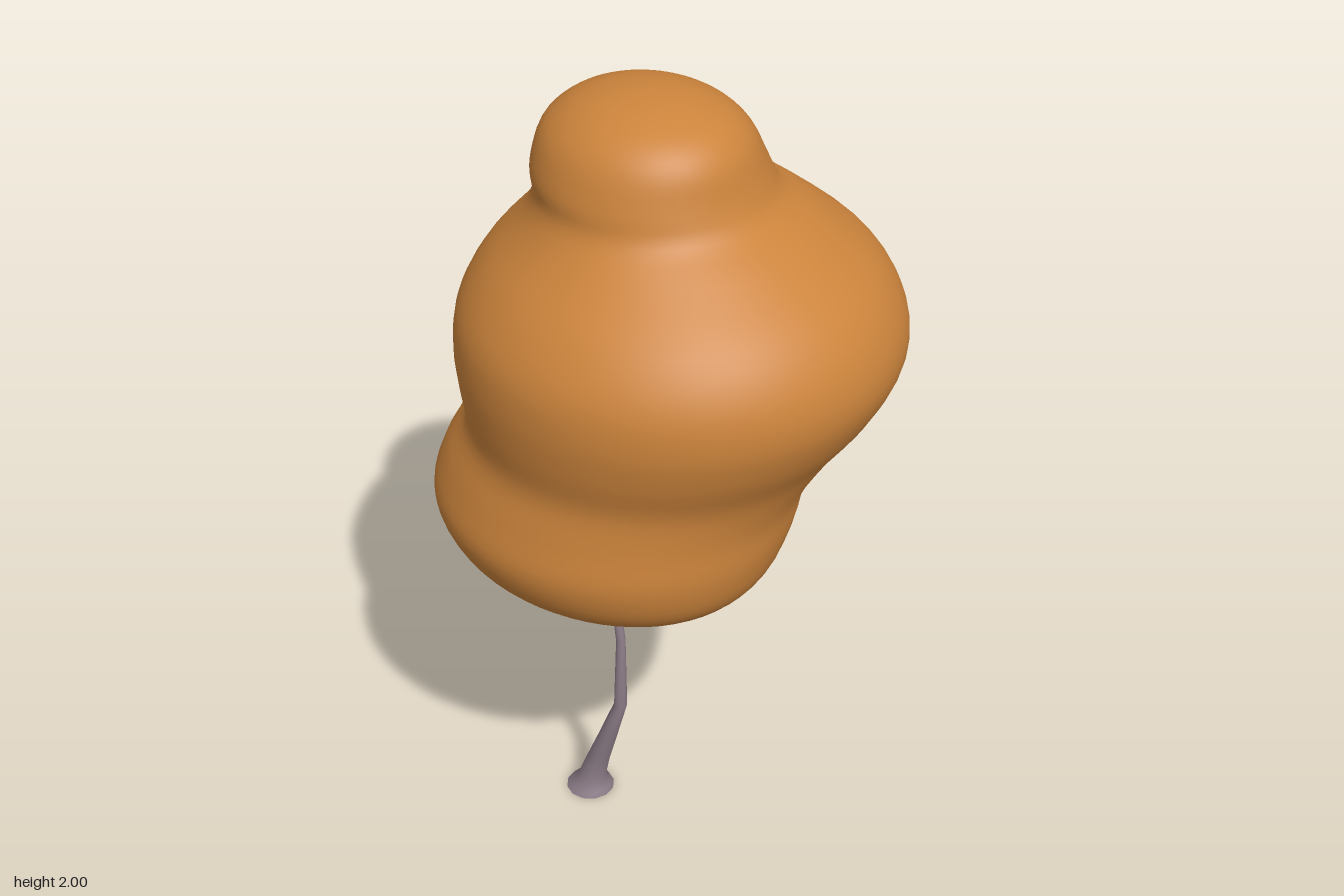
import * as THREE from 'three';

// Smooth interpolation through rows of numbers
function refine(rows, steps) {
  const out = [];
  const at = (i) => rows[Math.max(0, Math.min(rows.length - 1, i))];
  for (let i = 0; i < rows.length - 1; i++) {
    for (let s = 0; s < steps; s++) {
      const t = s / steps;
      out.push(rows[i].map((b, k) => {
        const a = at(i - 1)[k], c = at(i + 1)[k], d = at(i + 2)[k];
        return b + 0.5 * t * (c - a + t * (2 * a - 5 * b + 4 * c - d + t * (3 * (b - c) + d - a)));
      }));
    }
  }
  out.push(rows[rows.length - 1]);
  return out;
}

// Surface through horizontal elliptical sections [y, xMin, xMax, zMin, zMax], bottom to top
function loft(name, sections, sides, material) {
  const pos = [], index = [];
  sections.forEach(([y, x0, x1, z0, z1], i) => {
    for (let j = 0; j < sides; j++) {
      const a = (j / sides) * Math.PI * 2;
      pos.push((x0 + x1) / 2 + Math.cos(a) * (x1 - x0) / 2, y, (z0 + z1) / 2 + Math.sin(a) * (z1 - z0) / 2);
      if (i === sections.length - 1) continue;
      const p = i * sides + j, q = i * sides + (j + 1) % sides;
      index.push(p, p + sides, q, q, p + sides, q + sides);
    }
  });
  const geometry = new THREE.BufferGeometry();
  geometry.setAttribute('position', new THREE.Float32BufferAttribute(pos, 3));
  geometry.setIndex(index);
  geometry.computeVertexNormals();
  const mesh = new THREE.Mesh(geometry, material);
  mesh.name = name;
  return mesh;
}

// Round section from centre and radius
const ring = ([x, y, z, r]) => [y, x - r, x + r, z - r, z + r];

export function createModel() {
  const tree = new THREE.Group();
  tree.name = 'tree';
  const leaf = new THREE.MeshStandardMaterial({ color: 0xcc843c });
  const bark = new THREE.MeshStandardMaterial({ color: 0x8f7f8a, side: THREE.DoubleSide });

  // Crown: low lobe, wide middle and small cap
  const crown = [
    [0.74, -0.02, -0.019, 0.12, 0.121],
    [0.745, -0.09, 0.05, 0.06, 0.17],
    [0.76, -0.18, 0.11, 0.0, 0.22],
    [0.8, -0.34, 0.225, -0.09, 0.35],
    [0.85, -0.44, 0.31, -0.17, 0.45],
    [0.91, -0.50, 0.36, -0.235, 0.51],
    [1.0, -0.53, 0.385, -0.285, 0.54],
    [1.1, -0.507, 0.395, -0.315, 0.517],
    [1.2, -0.465, 0.43, -0.40, 0.488],
    [1.3, -0.495, 0.49, -0.49, 0.50],
    [1.4, -0.518, 0.525, -0.54, 0.507],
    [1.5, -0.503, 0.512, -0.527, 0.492],
    [1.6, -0.45, 0.45, -0.465, 0.43],
    [1.7, -0.362, 0.325, -0.35, 0.33],
    [1.76, -0.33, 0.24, -0.275, 0.285],
    [1.82, -0.335, 0.207, -0.25, 0.277],
    [1.9, -0.315, 0.18, -0.21, 0.247],
    [1.95, -0.265, 0.135, -0.16, 0.2],
    [1.98, -0.2, 0.065, -0.1, 0.14],
    [1.995, -0.13, -0.005, -0.04, 0.08],
    [2.0, -0.07, -0.069, 0.02, 0.021],
  ];
  tree.add(loft('crown', refine(crown, 4), 64, leaf));

  // Bent trunk with a flared foot
  const trunk = [
    [-0.15, 0, 0.165, 0.063], [-0.145, 0.015, 0.165, 0.054], [-0.14, 0.045, 0.165, 0.036],
    [-0.115, 0.12, 0.163, 0.03], [-0.078, 0.22, 0.16, 0.024], [-0.03, 0.35, 0.158, 0.017],
    [-0.027, 0.56, 0.156, 0.012], [-0.04, 0.64, 0.156, 0.011], [-0.06, 0.75, 0.152, 0.008], [-0.08, 0.84, 0.15, 0.004],
  ];
  tree.add(loft('trunk', trunk.map(ring), 12, bark));

  // Foot cap closing the underside
  const foot = new THREE.Mesh(new THREE.CircleGeometry(0.063, 12), bark);
  foot.name = 'trunkFoot';
  foot.rotation.x = Math.PI / 2;
  foot.position.set(-0.15, 0, 0.165);
  tree.add(foot);

  // Thin forks reaching into the crown
  const branches = [
    [[-0.035, 0.61, 0.155, 0.009], [-0.04, 0.68, 0.115, 0.008], [-0.045, 0.74, 0.065, 0.006], [-0.045, 0.8, 0.02, 0.003]],
    [[-0.04, 0.65, 0.155, 0.008], [-0.042, 0.74, 0.14, 0.006], [-0.03, 0.82, 0.13, 0.003]],
  ];
  branches.forEach((b, i) => tree.add(loft(`branch${i + 1}`, b.map(ring), 8, bark)));
  return tree;
}
